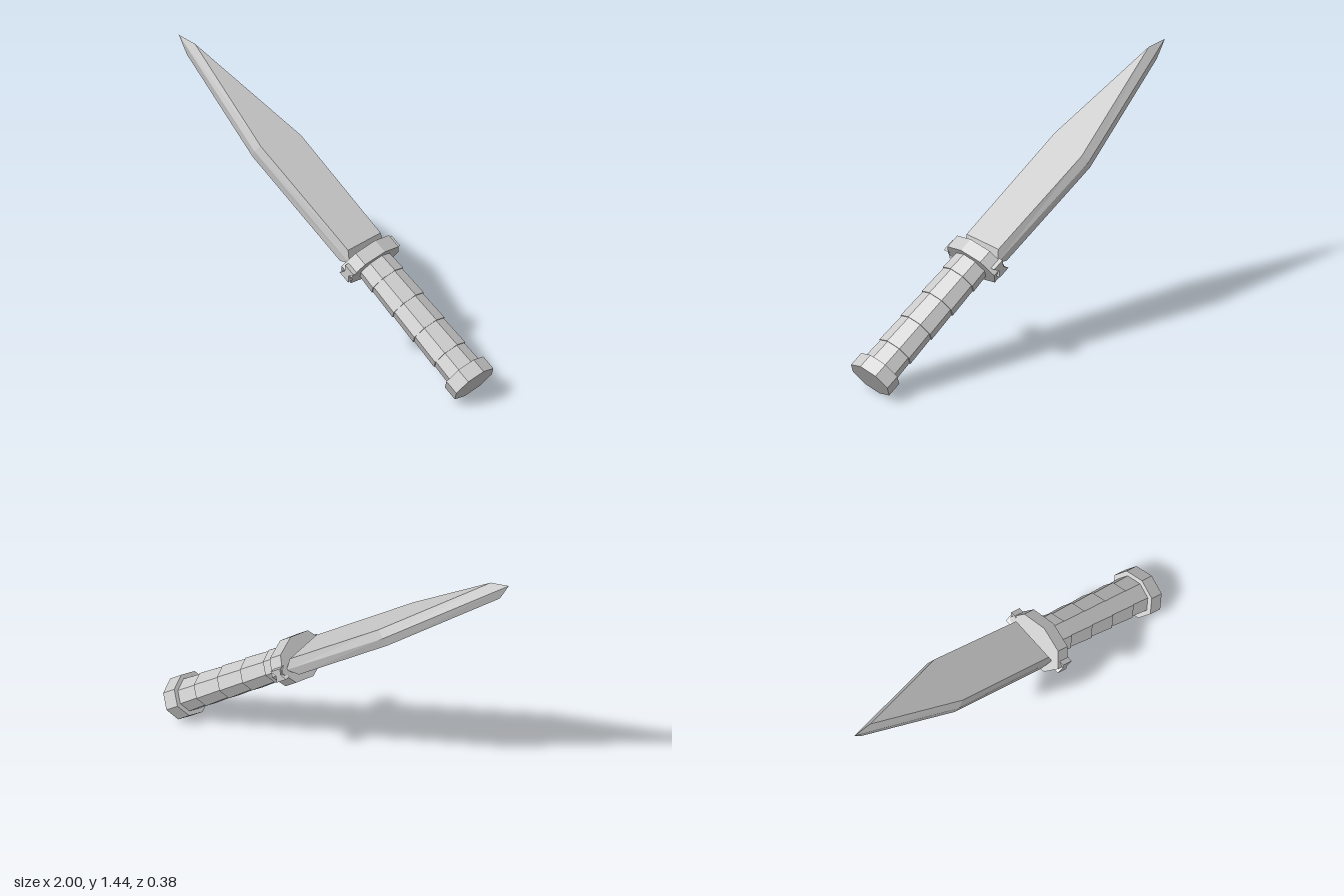
import * as THREE from 'three';

const material = new THREE.MeshStandardMaterial({ color: 0xcccccc, flatShading: true });

// Local frame: y runs from pommel to tip, x is across the flat faces, z is the width.
function add(parent, name, geometry) {
  const mesh = new THREE.Mesh(geometry, material);
  mesh.name = name;
  parent.add(mesh);
  return mesh;
}

// Flattened eight-sided section between y0 and y1, r0/r1 being half-widths in z
function octagon(r0, r1, y0, y1, flat) {
  return new THREE.CylinderGeometry(r1, r0, y1 - y0, 8)
    .scale(flat, 1, 1)
    .translate(0, (y0 + y1) / 2, 0);
}

// Blade: a ridge outline at mid thickness joined to two smaller flat outlines
function bladeGeometry() {
  const half = 0.047;
  const ridge = [[0.87, 0.13], [1.63, 0.138], [2.357, 0.022], [1.58, -0.156], [0.87, -0.14]];
  const flat = [[0.92, 0.124], [1.62, 0.127], [2.26, 0.021], [1.57, -0.14], [0.92, -0.13]];
  const at = (x) => ([y, z]) => [x, y, z];
  const top = flat.map(at(half)), mid = ridge.map(at(0)), low = flat.map(at(-half));
  const out = [];
  const tri = (a, b, c) => out.push(...a, ...b, ...c);
  const n = ridge.length;
  for (let i = 0; i < n; i++) {
    const j = (i + 1) % n;
    for (const [a, b] of [[top, mid], [mid, low]]) {
      tri(a[i], a[j], b[j]);
      tri(a[i], b[j], b[i]);
    }
  }
  for (let i = 1; i < n - 1; i++) {
    tri(top[0], top[i + 1], top[i]);
    tri(low[0], low[i], low[i + 1]);
  }
  const geometry = new THREE.BufferGeometry();
  geometry.setAttribute('position', new THREE.Float32BufferAttribute(out, 3));
  geometry.computeVertexNormals();
  return geometry;
}

// Small notched lug on the end of the guard
function lugGeometry() {
  const shape = new THREE.Shape([
    [-0.032, -0.034], [0, -0.016], [0.032, -0.034],
    [0.032, 0.034], [0, 0.016], [-0.032, 0.034],
  ].map(([x, y]) => new THREE.Vector2(x, y)));
  return new THREE.ExtrudeGeometry(shape, { depth: 0.035, bevelEnabled: false })
    .translate(0, 0, -0.0175);
}

export function createModel() {
  const model = new THREE.Group();
  model.name = 'knife';
  const body = new THREE.Group();
  body.name = 'knifeBody';
  model.add(body);

  add(body, 'pommel', octagon(0.138, 0.138, 0, 0.08, 0.8));

  // Stepped grip rings, each tapering toward the guard
  const grip = new THREE.Group();
  grip.name = 'grip';
  body.add(grip);
  const start = 0.03, step = 0.167;
  for (let i = 0; i < 5; i++) {
    const y = start + i * step;
    add(grip, 'gripRing', octagon(0.113, 0.106, y, Math.min(y + step, 0.82), 0.78));
  }

  // Guard with a lug at each end
  add(body, 'guard', octagon(0.185, 0.185, 0.8, 0.877, 0.63));
  for (const side of [1, -1]) {
    const lug = add(body, 'guardLug', lugGeometry());
    lug.position.set(0, side > 0 ? 0.829 : 0.85, side * 0.174);
  }

  add(body, 'blade', bladeGeometry());

  // Tilt the knife so the tip points up and to -x
  body.rotation.z = 0.962;
  body.position.set(0.937, 0.091, 0);
  return model;
}
